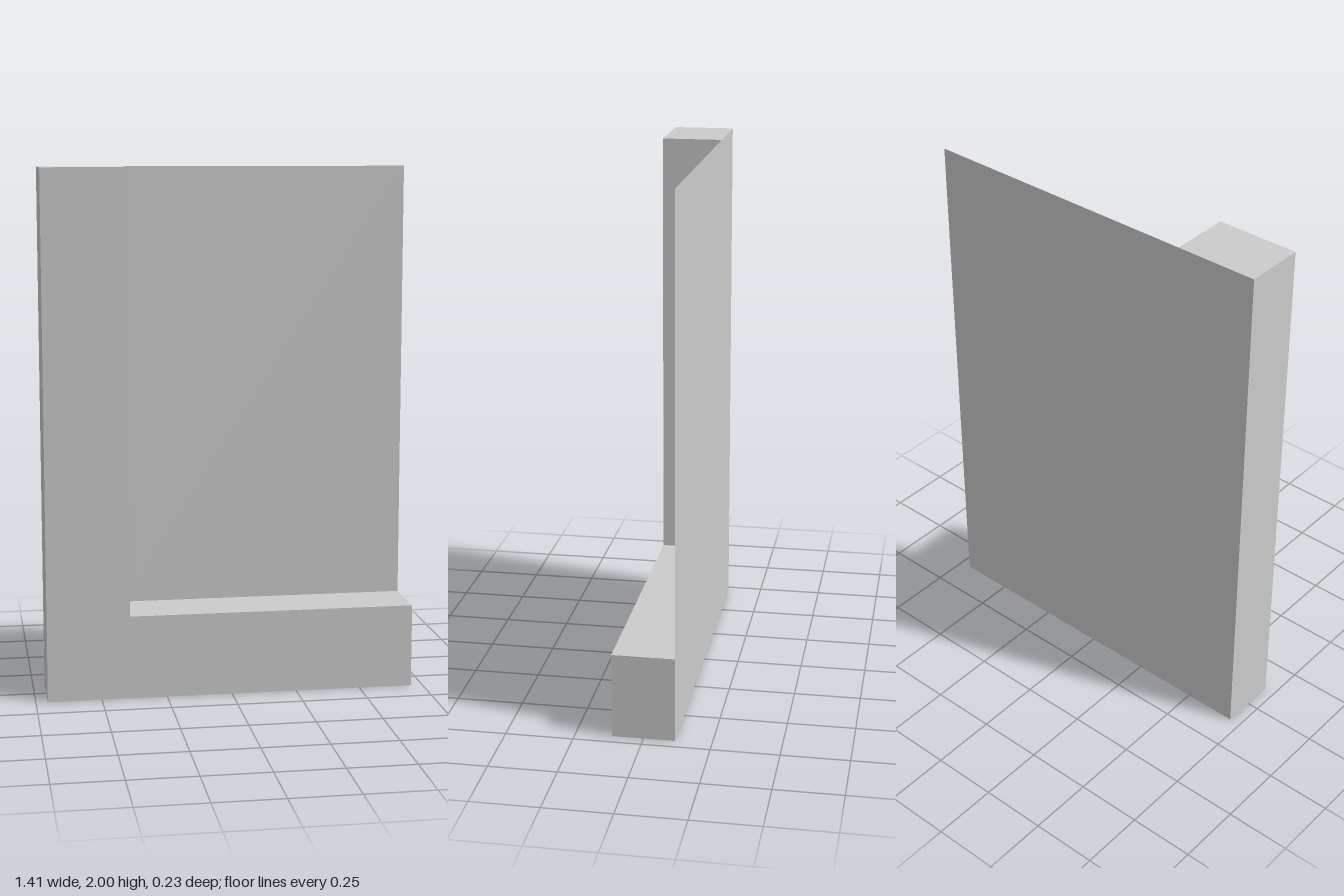
import * as THREE from 'three';

export function createModel() {
  const group = new THREE.Group();
  const left = -0.705, right = 0.705, top = 2, depth = 0.23;
  const postX = -0.39, baseY = 0.32;

  const material = new THREE.MeshStandardMaterial({ color: 0xcccccc, flatShading: true });
  const sheetMaterial = new THREE.MeshStandardMaterial({ color: 0xcccccc, side: THREE.DoubleSide });

  // L-shaped frame: upright post joined to the base rail
  const outline = new THREE.Shape([
    [left, 0], [right, 0], [right, baseY], [postX, baseY], [postX, top], [left, top],
  ].map(([x, y]) => new THREE.Vector2(x, y)));
  const frame = new THREE.Mesh(
    new THREE.ExtrudeGeometry(outline, { depth, bevelEnabled: false }), material);
  frame.name = 'cornerFrame';
  frame.position.z = -depth / 2;
  group.add(frame);

  // Thin back sheet filling the open corner, flush with the frame's back
  const panel = new THREE.Mesh(
    new THREE.PlaneGeometry(right - postX, top - baseY), sheetMaterial);
  panel.name = 'backPanel';
  panel.position.set((right + postX) / 2, (top + baseY) / 2, -depth / 2);
  group.add(panel);

  return group;
}
